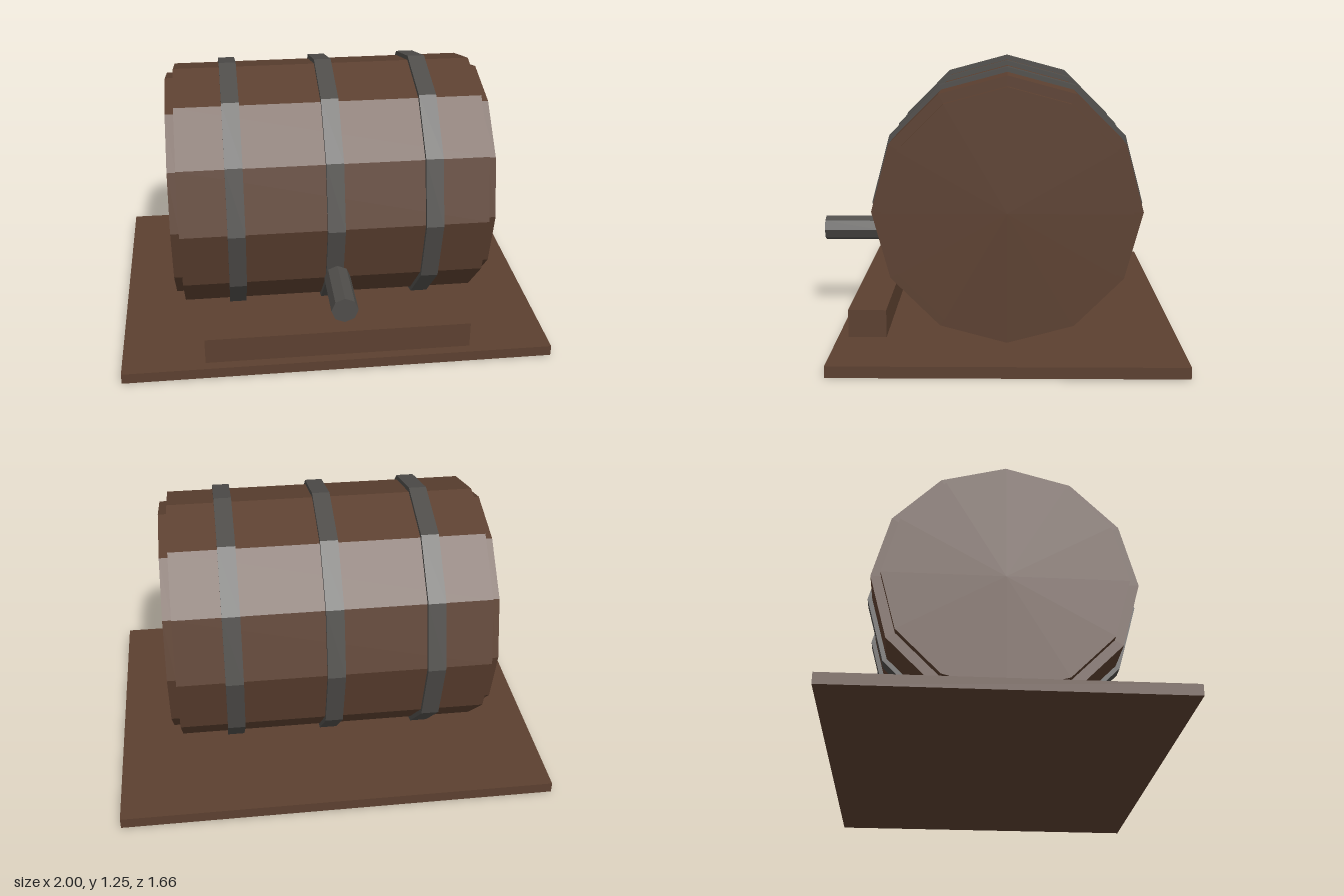
import * as THREE from 'three';

export function createModel() {
  const model = new THREE.Group();
  model.name = 'barrelOnStand';

  const wood = new THREE.MeshStandardMaterial({ color: 0x5c4030, flatShading: true });
  wood.name = 'brown wood';
  const iron = new THREE.MeshStandardMaterial({ color: 0x4f4d4a, flatShading: true });
  iron.name = 'dark iron';

  const add = (parent, name, geometry, material, x, y, z) => {
    const mesh = new THREE.Mesh(geometry, material);
    mesh.name = name;
    mesh.position.set(x, y, z);
    parent.add(mesh);
  };
  // Twelve-sided drum lying along x
  const drum = (radius, length) =>
    new THREE.CylinderGeometry(radius, radius, length, 12).rotateZ(Math.PI / 2);

  // Stand: flat base and front rail
  add(model, 'base', new THREE.BoxGeometry(2, 0.05, 1.515), wood, 0, 0.025, -0.0725);
  add(model, 'frontRail', new THREE.BoxGeometry(1.236, 0.125, 0.17), wood, 0, 0.1125, 0.553);

  // Barrel: body, stepped end heads and three hoops
  const barrel = new THREE.Group();
  barrel.name = 'barrel';
  barrel.position.set(0, 0.64, -0.07);
  model.add(barrel);
  add(barrel, 'body', drum(0.585, 1.41), wood, 0, 0, 0);
  for (const side of [-1, 1]) {
    add(barrel, side > 0 ? 'leftHead' : 'rightHead', drum(0.54, 0.04), wood, side * 0.725, 0, 0);
  }
  for (const x of [-0.45, 0, 0.45]) add(barrel, 'hoop', drum(0.606, 0.08), iron, x, 0, 0);

  // Eight-sided tap
  add(model, 'tap', new THREE.CylinderGeometry(0.06, 0.06, 0.277, 8).rotateX(Math.PI / 2),
    iron, 0, 0.416, 0.6895);

  return model;
}
